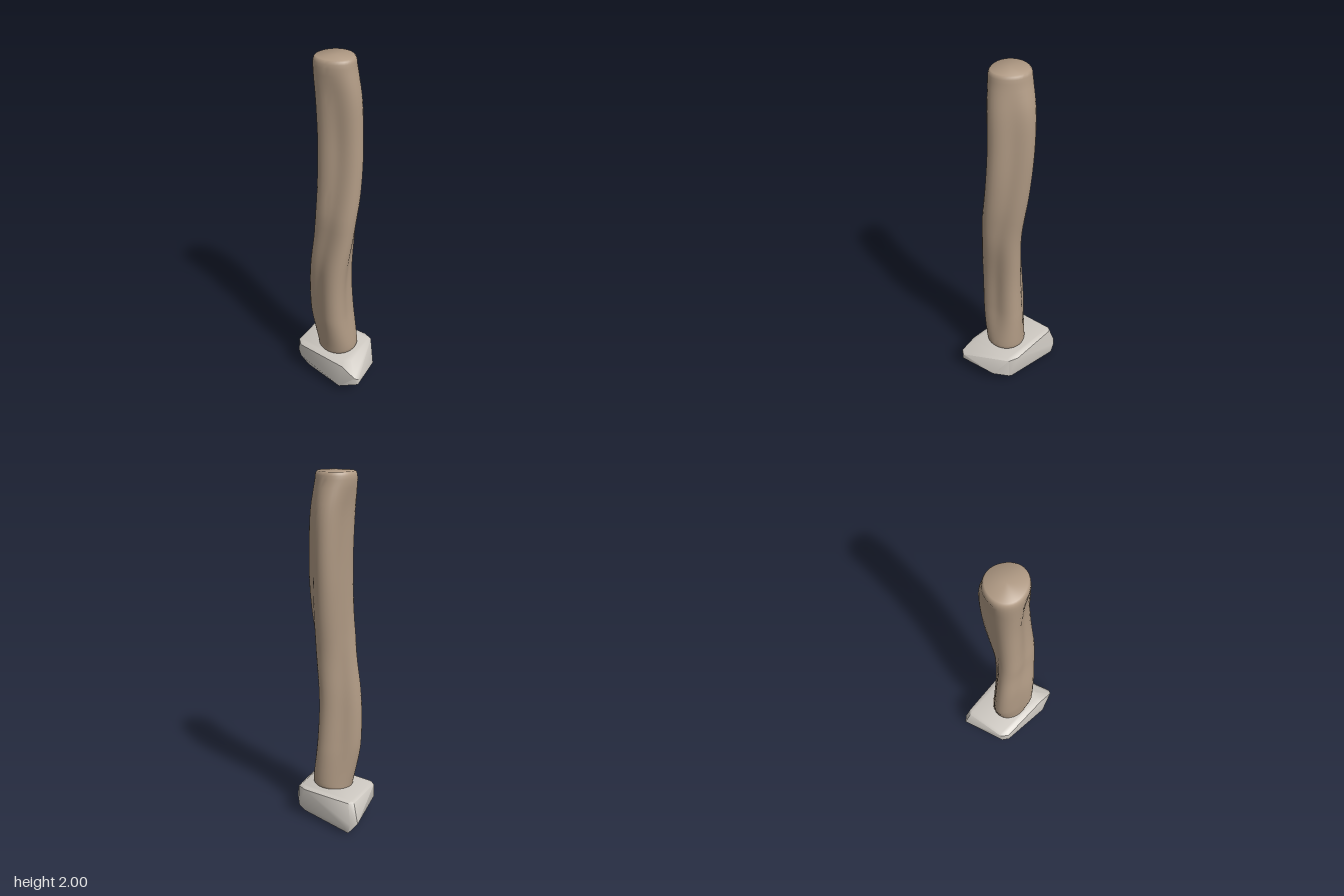
import * as THREE from 'three';
import { toCreasedNormals } from 'three/addons/utils/BufferGeometryUtils.js';
import { ConvexGeometry } from 'three/addons/geometries/ConvexGeometry.js';

const SIDES = 40;
const TAU = Math.PI * 2;

// Trunk stations: height, min x, max x, min z, max z, ridge depth, twist in degrees
const STATIONS = [
  [0.17, -0.100, 0.115, -0.095, 0.105, 0.01, 55],
  [0.20, -0.107, 0.122, -0.102, 0.112, 0.02, 55],
  [0.23, -0.112, 0.128, -0.105, 0.117, 0.04, 55],
  [0.40, -0.142, 0.105, -0.100, 0.142, 0.13, 55],
  [0.50, -0.150, 0.097, -0.093, 0.148, 0.16, 55],
  [0.65, -0.147, 0.095, -0.085, 0.148, 0.17, 53],
  [0.80, -0.135, 0.105, -0.085, 0.140, 0.16, 48],
  [1.00, -0.110, 0.132, -0.092, 0.115, 0.15, 38],
  [1.20, -0.095, 0.150, -0.120, 0.100, 0.16, 25],
  [1.40, -0.090, 0.154, -0.143, 0.090, 0.17, 17],
  [1.60, -0.093, 0.147, -0.155, 0.085, 0.17, 15],
  [1.80, -0.102, 0.136, -0.150, 0.092, 0.13, 15],
  [1.96, -0.119, 0.106, -0.113, 0.103, 0.03, 15],
];

// Smooth interpolation of one station column
const column = (k) => new THREE.CatmullRomCurve3(
  STATIONS.map((s) => new THREE.Vector3(s[k], s[0], 0)), false, 'catmullrom');

// Three-ridged section stretched to fit its bounds
function section([y, x0, x1, z0, z1, depth, twist], inset = 0) {
  const pts = [];
  for (let i = 0; i < SIDES; i++) {
    const a = (i / SIDES) * TAU;
    const r = 1 + depth * Math.cos(3 * (a - THREE.MathUtils.degToRad(twist)));
    pts.push(new THREE.Vector2(r * Math.cos(a), r * Math.sin(a)));
  }
  const box = new THREE.Box2().setFromPoints(pts);
  const fit = (v, a, b, lo, hi) => lo + inset + ((v - a) / (b - a)) * (hi - lo - 2 * inset);
  return pts.map((p) => [
    fit(p.x, box.min.x, box.max.x, x0, x1), y,
    fit(p.y, box.min.y, box.max.y, z0, z1)]);
}

function trunkGeometry() {
  const rings = [];
  const columns = [1, 2, 3, 4, 5, 6].map(column);
  const steps = 4;
  const last = STATIONS.length - 1;
  for (let i = 0; i <= last * steps; i++) {
    const p = columns.map((c) => c.getPoint(i / (last * steps)));
    rings.push(section([p[0].y, ...p.map((v) => v.x)]));
  }
  // Rounded rim at the top
  const top = STATIONS[last].slice();
  for (const [y, inset] of [[1.98, 0.002], [1.993, 0.006], [2, 0.013]]) {
    top[0] = y;
    rings.push(section(top, inset));
  }
  const positions = rings.flat(2);
  const index = [];
  for (let r = 0; r < rings.length - 1; r++) {
    for (let i = 0; i < SIDES; i++) {
      const j = (i + 1) % SIDES;
      const a = r * SIDES + i, b = r * SIDES + j;
      index.push(a, a + SIDES, b, b, a + SIDES, b + SIDES);
    }
  }
  // Flat ends
  const addCap = (r, up) => {
    const c = positions.length / 3;
    const ring = rings[r];
    const mean = (k) => ring.reduce((s, p) => s + p[k], 0) / SIDES;
    positions.push(mean(0), ring[0][1], mean(2));
    for (let i = 0; i < SIDES; i++) {
      const a = r * SIDES + i, b = r * SIDES + ((i + 1) % SIDES);
      index.push(c, up ? b : a, up ? a : b);
    }
  };
  addCap(0, false);
  addCap(rings.length - 1, true);
  const g = new THREE.BufferGeometry();
  g.setAttribute('position', new THREE.Float32BufferAttribute(positions, 3));
  g.setIndex(index);
  return toCreasedNormals(g, 1.1);
}

// Rough-cut stone, hull of its corners
function stoneGeometry() {
  const corners = [
    // underside
    [-0.20, 0.012, -0.19], [-0.15, 0.0, 0.09], [0.135, 0.045, 0.193], [0.13, 0.03, -0.13],
    // waist
    [-0.25, 0.075, -0.17], [-0.215, 0.07, -0.195], [-0.18, 0.05, -0.197],
    [0.165, 0.06, -0.135], [0.225, 0.08, -0.06],
    [0.25, 0.09, 0.165], [0.25, 0.125, 0.16], [0.235, 0.14, 0.18],
    [-0.21, 0.11, 0.108], [-0.175, 0.10, 0.138],
    // top
    [-0.215, 0.19, -0.15], [-0.19, 0.19, -0.172], [-0.195, 0.2, -0.15],
    [0.11, 0.19, -0.16], [0.11, 0.2, -0.145], [0.165, 0.19, -0.135], [0.155, 0.2, -0.12],
    [0.172, 0.195, 0.11], [0.16, 0.2, 0.11], [0.14, 0.18, 0.168], [0.13, 0.2, 0.135],
    [-0.21, 0.19, 0.10], [-0.195, 0.2, 0.09], [-0.175, 0.185, 0.135], [-0.165, 0.2, 0.115],
  ];
  return toCreasedNormals(new ConvexGeometry(corners.map((p) => new THREE.Vector3(...p))), 0.75);
}

export function createModel() {
  const group = new THREE.Group();
  const add = (name, geometry, color) => {
    const mesh = new THREE.Mesh(geometry, new THREE.MeshStandardMaterial({ color }));
    mesh.name = name;
    group.add(mesh);
  };
  add('woodenPost', trunkGeometry(), 0xb09a84);
  add('baseStone', stoneGeometry(), 0xcdc8c1);
  return group;
}
